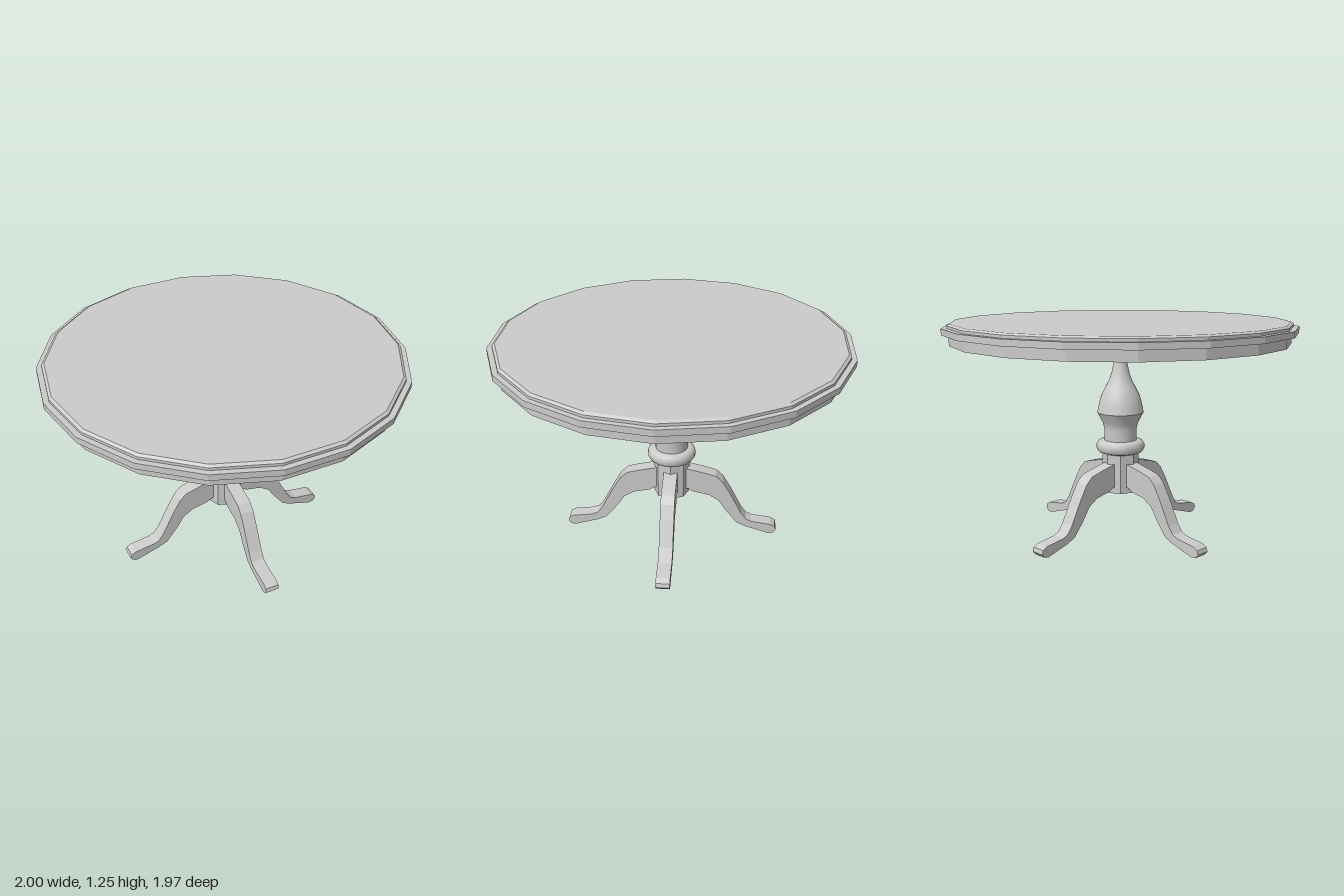
import * as THREE from 'three';

const smooth = new THREE.MeshStandardMaterial({ color: 0xcccccc, side: THREE.DoubleSide });
const faceted = new THREE.MeshStandardMaterial({ color: 0xcccccc, flatShading: true, side: THREE.DoubleSide });

// Turned part from [radius, height] pairs, listed bottom to top
function turned(name, profile, sides, material) {
  const points = profile.map(([r, y]) => new THREE.Vector2(r, y));
  const mesh = new THREE.Mesh(new THREE.LatheGeometry(points, sides), material);
  mesh.name = name;
  return mesh;
}

export function createModel() {
  const table = new THREE.Group();
  table.name = 'pedestalTable';

  // Eighteen-sided top: apron, projecting rim and bevelled upper board
  const top = turned('tableTop', [
    [0, 1.13], [0.96, 1.13], [0.96, 1.19], [1, 1.19], [1, 1.225],
    [0.97, 1.225], [0.97, 1.24], [0.955, 1.25], [0, 1.25],
  ], 18, faceted);
  top.rotation.y = Math.PI / 2;
  table.add(top);

  // Faceted collar under the top
  table.add(turned('collar', [
    [0.03, 1.045], [0.042, 1.05], [0.055, 1.068], [0.055, 1.085],
    [0.07, 1.09], [0.083, 1.108], [0.083, 1.13],
  ], 8, faceted));

  // Turned baluster: waist below, vase above, meeting at a sharp shoulder
  table.add(turned('columnWaist', [
    [0.095, 0.55], [0.095, 0.63], [0.103, 0.665], [0.135, 0.725],
  ], 20, smooth));
  table.add(turned('columnVase', [
    [0.135, 0.725], [0.125, 0.775], [0.113, 0.82], [0.088, 0.87], [0.066, 0.91],
    [0.05, 0.96], [0.04, 1.01], [0.033, 1.055],
  ], 20, smooth));

  // Rounded bead between column and hub
  table.add(turned('bead', [
    [0, 0.488], [0.11, 0.488], [0.128, 0.495], [0.139, 0.512], [0.139, 0.538],
    [0.128, 0.556], [0.11, 0.563], [0.09, 0.563],
  ], 24, smooth));

  // Hub that carries the legs
  table.add(turned('hub', [
    [0, 0.26], [0.105, 0.26], [0.105, 0.495], [0, 0.495],
  ], 8, faceted));

  // Curved legs cut from a flat board
  const outline = [
    [0.06, 0.437], [0.105, 0.43], [0.2, 0.408], [0.265, 0.39], [0.305, 0.352],
    [0.35, 0.275], [0.42, 0.138], [0.45, 0.096], [0.485, 0.08], [0.6, 0.064],
    [0.628, 0.048], [0.635, 0.025], [0.618, 0.004], [0.59, 0], [0.45, 0.043],
    [0.396, 0.068], [0.33, 0.152], [0.285, 0.22], [0.225, 0.258], [0.13, 0.278],
    [0.105, 0.295], [0.06, 0.3],
  ];
  const shape = new THREE.Shape(outline.map(([x, y]) => new THREE.Vector2(x, y)));
  const legGeometry = new THREE.ExtrudeGeometry(shape, { depth: 0.08, bevelEnabled: false });
  legGeometry.translate(0, 0, -0.04);
  ['leftLeg', 'backLeg', 'rightLeg', 'frontLeg'].forEach((name, i) => {
    const leg = new THREE.Mesh(legGeometry, faceted);
    leg.name = name;
    leg.rotation.y = i * Math.PI / 2;
    table.add(leg);
  });

  return table;
}
